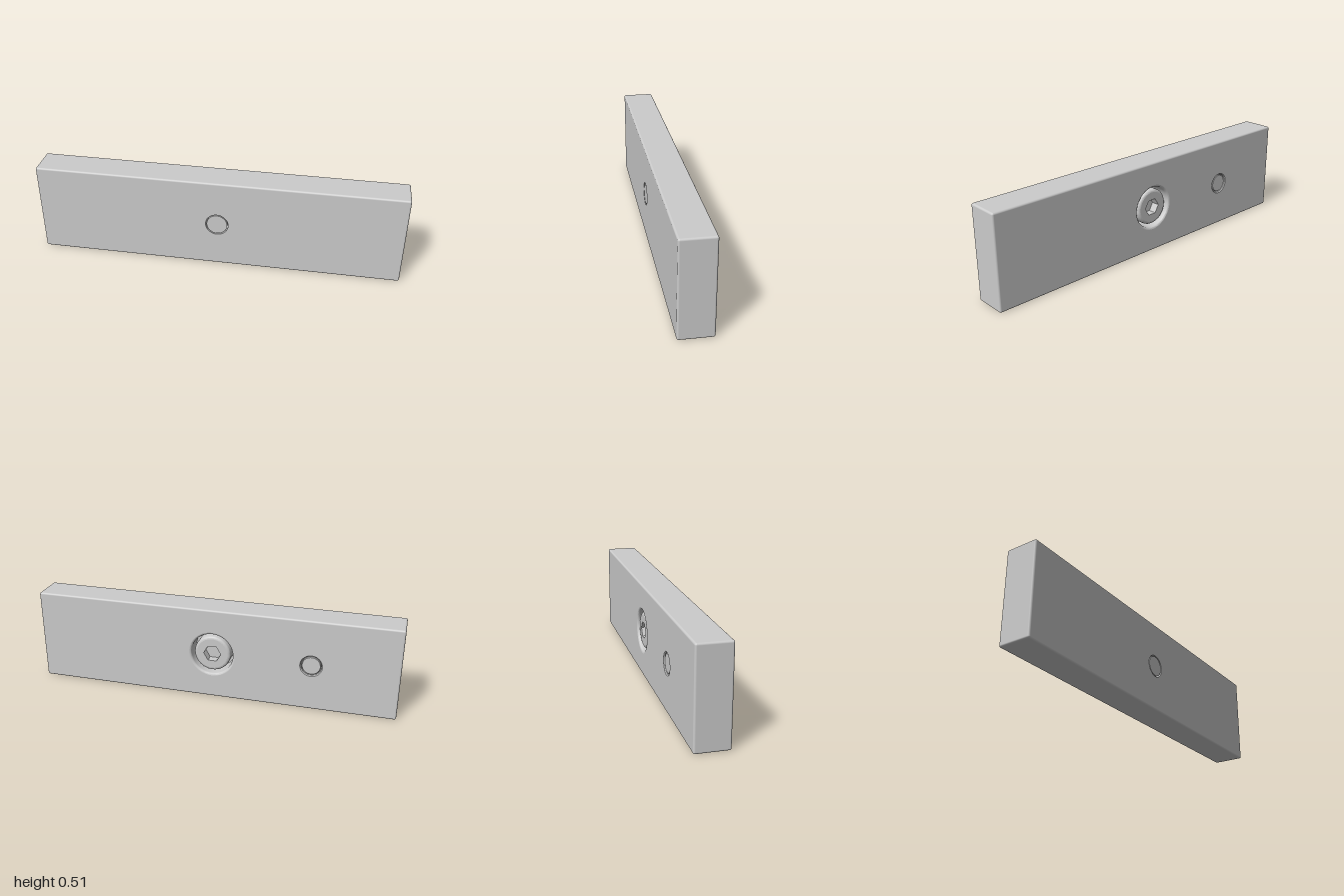
import * as THREE from 'three';
import { toCreasedNormals } from 'three/addons/utils/BufferGeometryUtils.js';
import { RoundedBoxGeometry } from 'three/addons/geometries/RoundedBoxGeometry.js';

const W = 2, H = 0.51, D = 0.178, R = 0.01, Z = D / 2;
const PIN_X = -0.54;
const grey = new THREE.MeshStandardMaterial({ color: 0xcccccc });
const open = new THREE.MeshStandardMaterial({ color: 0xcccccc, side: THREE.DoubleSide });

function add(parent, name, geometry, material = grey, x = 0, y = 0, z = 0) {
  const mesh = new THREE.Mesh(geometry, material);
  mesh.name = name;
  mesh.position.set(x, y, z);
  parent.add(mesh);
  return mesh;
}

// Turned part around the z axis from [radius, z] points
function turned(points) {
  const geo = new THREE.LatheGeometry(points.map(p => new THREE.Vector2(...p)), 64);
  return toCreasedNormals(geo.rotateX(Math.PI / 2), 0.5);
}

// Quarter-round profile points between two angles
function arc(cx, cz, r, a0, a1, n = 5) {
  return Array.from({ length: n + 1 }, (_, i) => {
    const a = a0 + (a1 - a0) * i / n;
    return [cx + r * Math.cos(a), cz + r * Math.sin(a)];
  });
}

// Rounded bar surface without its flat front and back faces
function barRim() {
  const src = new RoundedBoxGeometry(W, H, D, 4, R);
  const p = src.attributes.position, n = src.attributes.normal;
  const pos = [], nor = [];
  for (let i = 0; i < p.count; i += 3) {
    const flat = [0, 1, 2].every(k => Math.abs(Math.abs(p.getZ(i + k)) - Z) < 1e-5);
    if (flat) continue;
    for (let k = i; k < i + 3; k++) {
      pos.push(p.getX(k), p.getY(k), p.getZ(k));
      nor.push(n.getX(k), n.getY(k), n.getZ(k));
    }
  }
  const geo = new THREE.BufferGeometry();
  geo.setAttribute('position', new THREE.Float32BufferAttribute(pos, 3));
  geo.setAttribute('normal', new THREE.Float32BufferAttribute(nor, 3));
  return geo;
}

// Flat face of the bar with round holes given as [x, radius]
function panel(holes) {
  const w = W / 2 - R, h = H / 2 - R;
  const shape = new THREE.Shape([[-w, -h], [w, -h], [w, h], [-w, h]].map(p => new THREE.Vector2(...p)));
  for (const [x, r] of holes) shape.holes.push(new THREE.Path().absarc(x, 0, r, 0, Math.PI * 2, true));
  return new THREE.ShapeGeometry(shape, 32);
}

export function createModel() {
  const model = new THREE.Group();
  model.name = 'clampBar';
  const body = new THREE.Group();
  body.name = 'barBody';
  body.position.y = H / 2;
  model.add(body);

  // Bar shell
  add(body, 'barEdges', barRim());
  add(body, 'frontFace', panel([[0, 0.062]]), grey, 0, 0, Z);
  add(body, 'backFace', panel([[-PIN_X, 0.06], [0, 0.128]]).rotateY(Math.PI), grey, 0, 0, -Z);

  // Stepped bolt hole with a rounded rim, and blind pin hole
  add(body, 'boltHole', turned([
    [0.062, Z], [0.062, 0.02], [0.116, 0.02],
    ...arc(0.128, -Z + 0.012, 0.012, Math.PI, Math.PI * 1.5),
  ].map(([r, z]) => [r, z])), open);
  add(body, 'pinHole', turned([[0, -0.02], [0.055, -0.02], [0.055, -Z + 0.005], [0.06, -Z]]), open, PIN_X);

  // Socket-head bolt, head at the back and shank end flush at the front
  const bolt = new THREE.Group();
  bolt.name = 'bolt';
  body.add(bolt);
  const top = -0.08, hexR = 0.048, depth = 0.045;
  add(bolt, 'boltShaft', turned([
    ...arc(0.085, top + 0.015, 0.015, -Math.PI / 2, 0),
    [0.1, 0.02], [0.056, 0.02], [0.056, Z - 0.001], [0, Z - 0.001],
  ]));
  const hex = Array.from({ length: 6 }, (_, i) =>
    new THREE.Vector2(Math.cos(-i * Math.PI / 3), Math.sin(-i * Math.PI / 3)).multiplyScalar(hexR));
  const headShape = new THREE.Shape().absarc(0, 0, 0.085, 0, Math.PI * 2);
  headShape.holes.push(new THREE.Path(hex));
  add(bolt, 'boltHeadFace', new THREE.ShapeGeometry(headShape, 32).rotateY(Math.PI), grey, 0, 0, top);
  const socket = new THREE.CylinderGeometry(hexR, hexR, depth, 6, 1, true, Math.PI / 2).rotateX(Math.PI / 2);
  add(bolt, 'hexSocketWalls', toCreasedNormals(socket, 0.5), open, 0, 0, top + depth / 2);
  add(bolt, 'hexSocketFloor', new THREE.CircleGeometry(hexR, 6).rotateY(Math.PI), grey, 0, 0, top + depth);

  // Locating pin
  add(body, 'locatingPin', turned([[0, -0.085], [0.048, -0.085], [0.051, -0.082], [0.051, -0.02]]), grey, PIN_X);
  return model;
}
